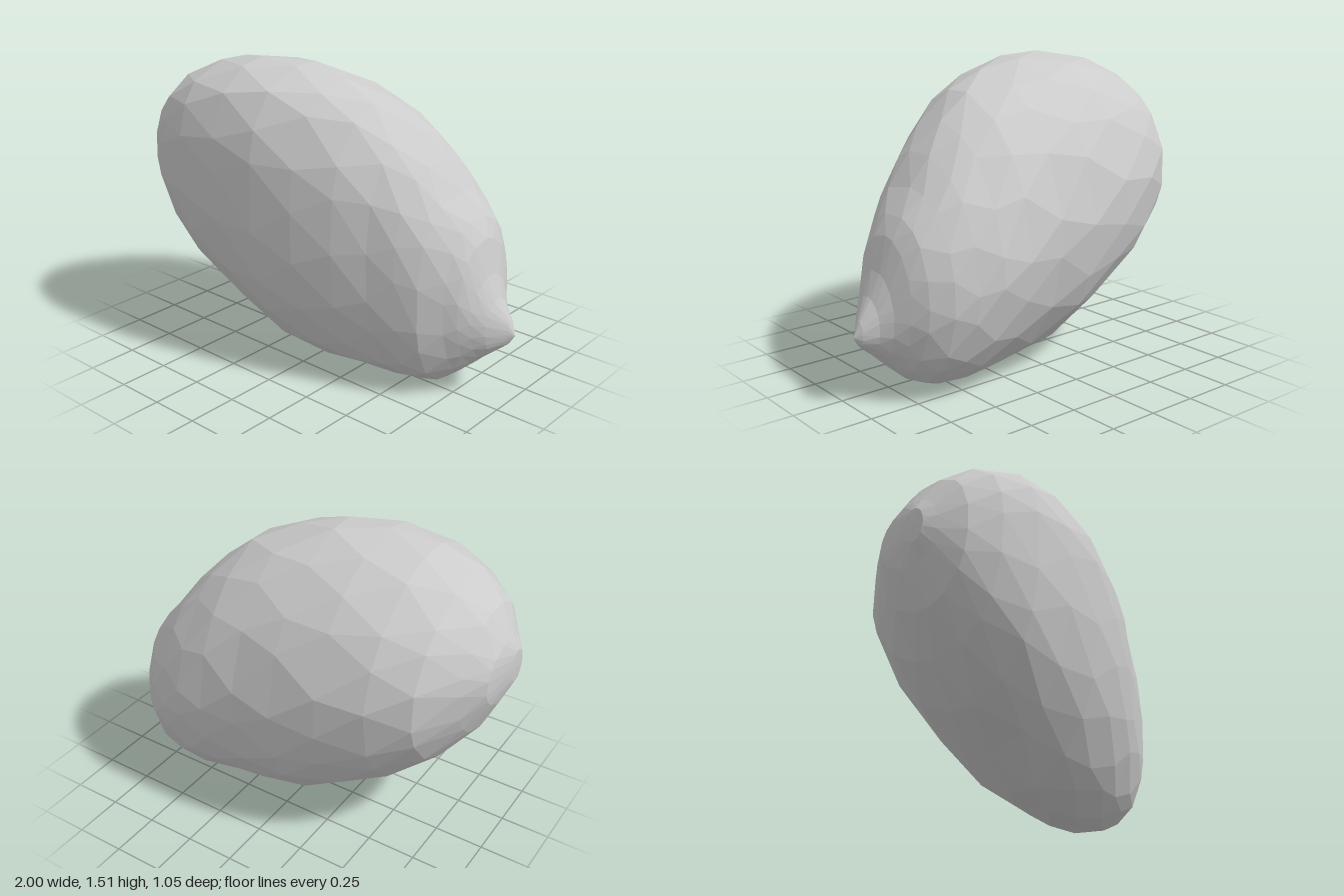
import * as THREE from 'three';

// Cross-sections along x: [x, yMin, yMax, zBack, zFront, top lean in z]
const SECTIONS = [
  [-0.995, 0.91, 1.08, 0.12, 0.24, 0],
  [-0.96, 0.82, 1.15, -0.06, 0.29, 0.02],
  [-0.88, 0.64, 1.28, -0.17, 0.40, 0.05],
  [-0.74, 0.47, 1.40, -0.35, 0.475, 0.09],
  [-0.55, 0.30, 1.48, -0.445, 0.52, 0.11],
  [-0.32, 0.165, 1.515, -0.50, 0.52, 0.12],
  [-0.09, 0.04, 1.505, -0.525, 0.51, 0.11],
  [0.12, 0.012, 1.455, -0.525, 0.46, 0.08],
  [0.31, 0.0, 1.375, -0.53, 0.395, 0.06],
  [0.46, 0.0, 1.25, -0.525, 0.32, 0.05],
  [0.58, 0.01, 1.12, -0.495, 0.27, 0.04],
  [0.68, 0.04, 0.98, -0.455, 0.22, 0.02],
  [0.77, 0.11, 0.87, -0.385, 0.14, 0],
  [0.82, 0.16, 0.78, -0.32, 0.10, 0],
  [0.865, 0.20, 0.62, -0.25, 0.05, 0],
  [0.91, 0.24, 0.51, -0.20, 0.0, 0],
  [0.97, 0.29, 0.41, -0.155, -0.085, 0],
];
// Roundness of the section quarters: [x, front top, back top, front bottom]
const ROUNDNESS = [
  [-1, 1, 1, 1],
  [-0.7, 0.86, 0.95, 0.94],
  [0, 0.88, 0.97, 1.04],
  [0.46, 0.84, 1.1, 0.95],
  [0.72, 0.8, 0.9, 0.8],
  [0.87, 1, 1, 1],
  [1, 1, 1, 1],
];
const SEGMENTS = 18;

function roundnessAt(x, quarter) {
  const k = ROUNDNESS.findIndex((row) => row[0] > x);
  const a = ROUNDNESS[k - 1], b = ROUNDNESS[k];
  return THREE.MathUtils.mapLinear(x, a[0], b[0], a[quarter], b[quarter]);
}

// Point on an oval with its own roundness per quarter and a lean in z
function sectionPoint([x, y0, y1, z0, z1, lean], angle) {
  const sin = Math.sin(angle);
  const cos = Math.cos(angle);
  let power = 1;
  if (sin > 0) power = roundnessAt(x, cos > 0 ? 1 : 2);
  else if (cos > 0) power = roundnessAt(x, 3);
  const s = Math.sign(sin) * Math.abs(sin) ** power;
  const c = Math.sign(cos) * Math.abs(cos) ** power;
  const shift = s > 0 ? lean * s ** 1.5 : 0.035 * (y1 - y0) * Math.abs(s) ** 3;
  return [
    x,
    (y0 + y1) / 2 + (s * (y1 - y0)) / 2,
    (z0 + z1) / 2 + (c * (z1 - z0)) / 2 + shift,
  ];
}

function createBodyGeometry() {
  const positions = [];
  const indices = [];
  const n = SEGMENTS;

  // Alternate rings are turned by half a step for a faceted, triangular skin
  SECTIONS.forEach((section, r) => {
    for (let i = 0; i < n; i++) {
      const wobble = 0.06 * Math.sin(i * 4.1 + r * 2.7);
      const angle = ((i + (r % 2) / 2) / n) * Math.PI * 2 + wobble;
      positions.push(...sectionPoint(section, angle));
    }
  });

  for (let r = 0; r < SECTIONS.length - 1; r++) {
    for (let i = 0; i < n; i++) {
      const j = (i + 1) % n;
      const a = r * n + i, b = r * n + j;
      const c = (r + 1) * n + i, d = (r + 1) * n + j;
      if (r % 2 === 0) indices.push(a, c, b, b, c, d);
      else indices.push(a, d, b, a, c, d);
    }
  }

  // Close the blunt end and the pointed tip
  const first = positions.length / 3;
  positions.push(-1, 1.0, 0.18, 1, 0.34, -0.12);
  const last = (SECTIONS.length - 1) * n;
  for (let i = 0; i < n; i++) {
    const j = (i + 1) % n;
    indices.push(first, i, j);
    indices.push(first + 1, last + j, last + i);
  }

  const geometry = new THREE.BufferGeometry();
  geometry.setAttribute('position', new THREE.Float32BufferAttribute(positions, 3));
  geometry.setIndex(indices);
  const faceted = geometry.toNonIndexed();
  faceted.computeVertexNormals();
  return faceted;
}

export function createModel() {
  const group = new THREE.Group();
  group.name = 'tuber';
  const material = new THREE.MeshStandardMaterial({ color: 0xcccccc, flatShading: true });
  const body = new THREE.Mesh(createBodyGeometry(), material);
  body.name = 'body';
  group.add(body);
  return group;
}
